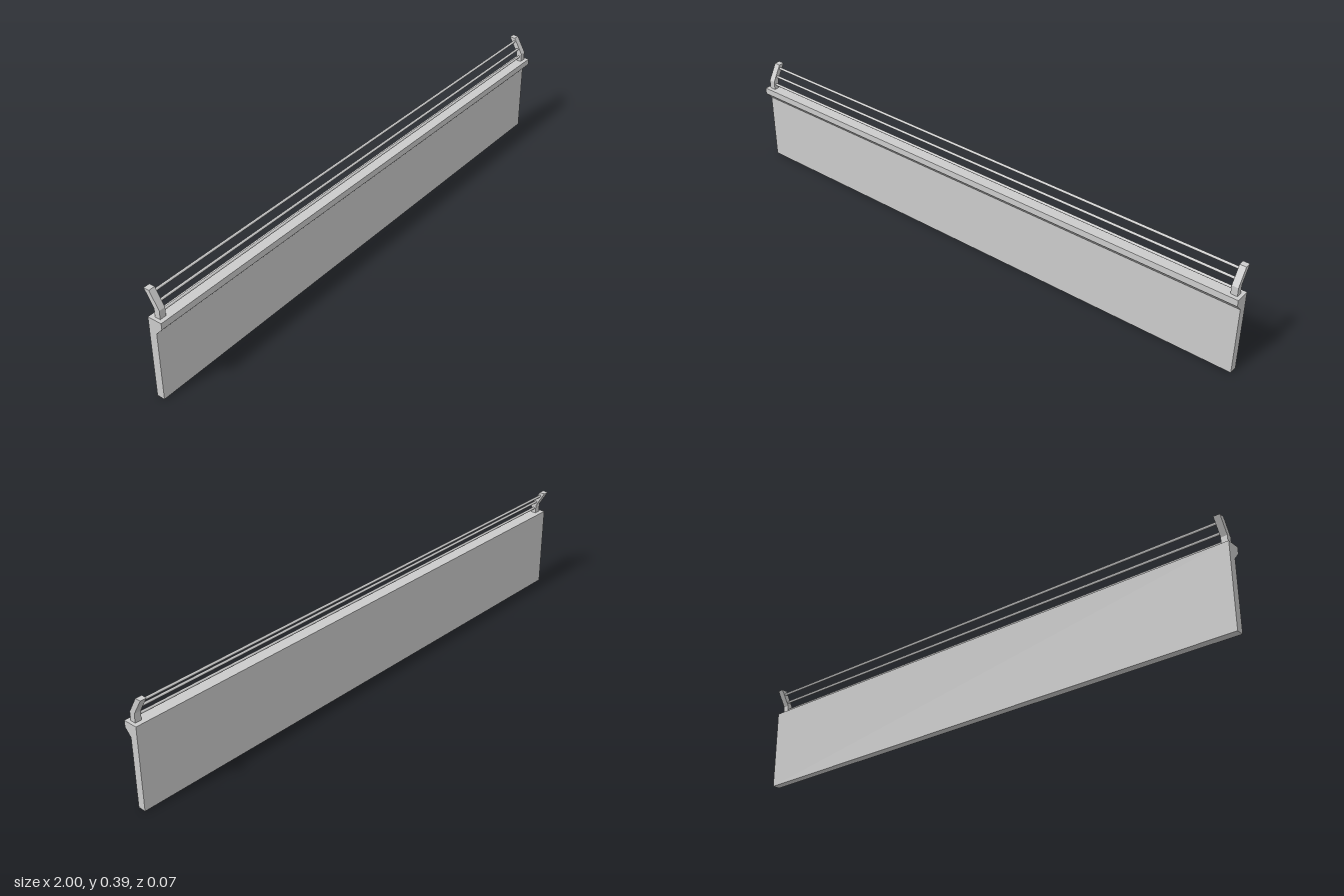
import * as THREE from 'three';

const material = new THREE.MeshStandardMaterial({ color: 0xcccccc, flatShading: true });
const railMaterial = new THREE.MeshStandardMaterial({ color: 0xcccccc });

// Extrude a [z, y] side profile along x, centred on the given x
function extrudeAlongX(name, profile, width, x = 0) {
  const shape = new THREE.Shape(profile.map(([z, y]) => new THREE.Vector2(z, y)));
  const geometry = new THREE.ExtrudeGeometry(shape, { depth: width, bevelEnabled: false });
  geometry.translate(0, 0, -width / 2).rotateY(-Math.PI / 2);
  const mesh = new THREE.Mesh(geometry, material);
  mesh.name = name;
  mesh.position.x = x;
  return mesh;
}

export function createModel() {
  const model = new THREE.Group();
  model.name = 'parapetWall';

  // Wall panel with a chamfered ledge along the top of its front
  model.add(extrudeAlongX('wall', [
    [-0.016, 0], [0.0125, 0], [0.0125, 0.248], [0.036, 0.274], [0.036, 0.297], [-0.016, 0.297],
  ], 2));

  // Bent end posts, leaning to the back
  for (const side of [-1, 1]) {
    model.add(extrudeAlongX(side < 0 ? 'rightPost' : 'leftPost', [
      [0.001, 0.297], [0.0214, 0.297], [0.0214, 0.328], [-0.0118, 0.3855], [-0.033, 0.3855], [0.001, 0.328],
    ], 0.023, side * 0.977));
  }

  // Three thin rails following the bend of the posts
  const rails = new THREE.Group();
  rails.name = 'rails';
  for (const [y, z] of [[0.314, 0.011], [0.343, 0.0025], [0.371, -0.0138]]) {
    const geometry = new THREE.CylinderGeometry(0.0045, 0.0045, 1.95, 12).rotateZ(Math.PI / 2);
    const rail = new THREE.Mesh(geometry, railMaterial);
    rail.name = 'rail';
    rail.position.set(0, y, z);
    rails.add(rail);
  }
  model.add(rails);

  return model;
}
